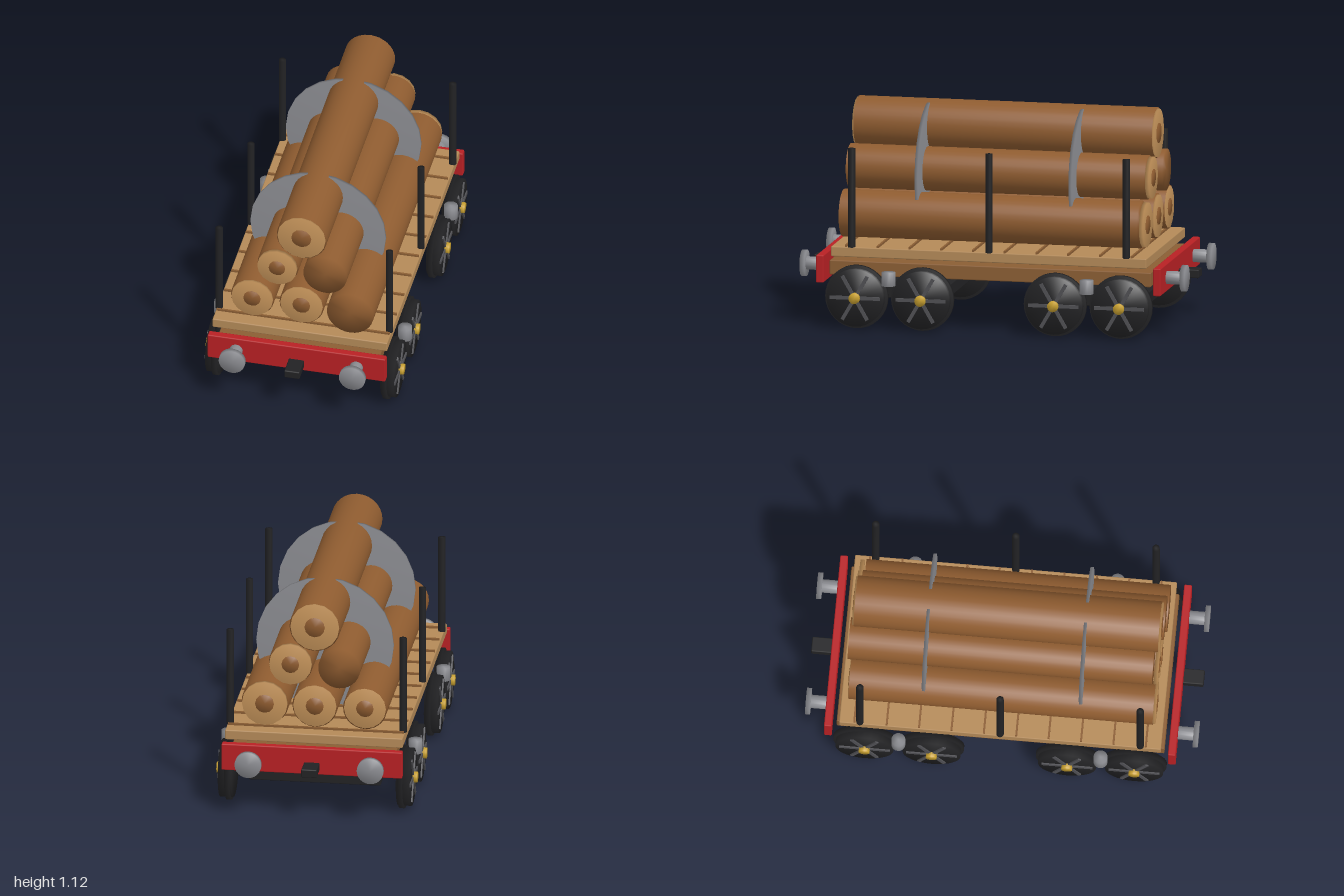
import * as THREE from 'three';
import { mergeVertices } from 'three/addons/utils/BufferGeometryUtils.js';
import { RoundedBoxGeometry } from 'three/addons/geometries/RoundedBoxGeometry.js';

const mat = (name, color) => {
  const m = new THREE.MeshStandardMaterial({ color });
  m.name = name;
  return m;
};

export function createModel() {
  const model = new THREE.Group();
  model.name = 'logWagon';

  const plank = mat('plank wood', 0xb48a58);
  const frameWood = mat('frame wood', 0x8b5e34);
  const bark = mat('bark', 0x8f5c30);
  const cut = mat('cut wood', 0xc4935a);
  const red = mat('red paint', 0xb82024);
  const black = mat('black iron', 0x222224);
  const spokeGrey = mat('spoke grey', 0x505054);
  const steel = mat('steel', 0x8c8d92);
  const brass = mat('brass', 0xc8a030);

  const add = (parent, name, geo, material, x, y, z) => {
    const mesh = new THREE.Mesh(geo, material);
    mesh.name = name;
    mesh.position.set(x, y, z);
    parent.add(mesh);
    return mesh;
  };

  // Box with slightly softened edges
  const box = (w, h, d, r = 0.006) => new RoundedBoxGeometry(w, h, d, 1, r);

  // Cylinder along an axis, with normals shared between side and ends
  const rod = (r, length, axis, sides = 24) => {
    let g = new THREE.CylinderGeometry(r, r, length, sides);
    g.deleteAttribute('uv');
    g.deleteAttribute('normal');
    g = mergeVertices(g);
    g.computeVertexNormals();
    if (axis === 'x') g.rotateZ(-Math.PI / 2);
    if (axis === 'z') g.rotateX(Math.PI / 2);
    return g;
  };

  // Deck, plank seams and underframe
  add(model, 'deck', box(0.91, 0.052, 1.64), plank, 0, 0.391, 0);
  for (let i = 0; i < 10; i++) {
    add(model, 'plankSeam', new THREE.BoxGeometry(0.9, 0.012, 0.01), frameWood, 0, 0.422, (i - 4.5) * 0.165);
  }
  add(model, 'underframe', box(0.84, 0.075, 1.67), frameWood, 0, 0.302, 0);

  // Side stakes
  for (const x of [-0.443, 0.443]) {
    for (const z of [-0.714, 0, 0.714]) {
      add(model, 'stake', rod(0.019, 0.51, 'y', 12), black, x, 0.67, z);
    }
  }

  // Wheel with flange, spokes and brass hub; side is +1 or -1
  const addWheel = (side, z) => {
    const wheel = new THREE.Group();
    wheel.name = 'wheel';
    wheel.position.set(0, 0.162, z);
    model.add(wheel);
    add(wheel, 'tyre', rod(0.148, 0.068, 'x', 32), black, side * 0.456, 0, 0);
    add(wheel, 'flange', rod(0.162, 0.025, 'x', 32), black, side * 0.443, 0, 0);
    for (let i = 0; i < 3; i++) {
      const spoke = add(wheel, 'spokePair', new THREE.BoxGeometry(0.012, 0.018, 0.26), spokeGrey, side * 0.491, 0, 0);
      spoke.rotation.x = (i * Math.PI) / 3;
    }
    add(wheel, 'hub', rod(0.028, 0.03, 'x', 16), brass, side * 0.499, 0, 0);
  };

  for (const end of [-1, 1]) {
    // Bogie
    add(model, 'bogieFrame', box(0.675, 0.066, 0.54), black, 0, 0.173, end * 0.515);
    for (const side of [-1, 1]) {
      addWheel(side, end * 0.345);
      addWheel(side, end * 0.687);
      add(model, 'spring', rod(0.036, 0.07, 'y', 16), steel, side * 0.479, 0.265, end * 0.515);
      // Buffers
      add(model, 'bufferShaft', rod(0.034, 0.09, 'z', 20), steel, side * 0.313, 0.3, end * 0.935);
      add(model, 'bufferHead', rod(0.068, 0.025, 'z', 24), steel, side * 0.313, 0.3, end * 0.9875);
    }
    // End beam and coupling
    add(model, 'bufferBeam', box(0.926, 0.142, 0.04), red, 0, 0.299, end * 0.876);
    add(model, 'coupling', box(0.08, 0.044, 0.11), black, 0, 0.271, end * 0.945);
    // Binding disc round the load
    add(model, 'bindingDisc', rod(0.352, 0.016, 'z', 24), steel, 0, 0.758, end * 0.4);
  }

  // Logs: x, y, radius, bark shift along the wagon
  const logs = [
    [-0.257, 0.557, 0.112, -0.005],
    [0, 0.557, 0.115, 0],
    [0.257, 0.557, 0.121, 0.022],
    [-0.127, 0.773, 0.107, -0.021],
    [0.125, 0.777, 0.113, 0.016],
    [0, 0.985, 0.13, 0],
  ];
  for (const [x, y, r, shift] of logs) {
    const log = new THREE.Group();
    log.name = 'log';
    log.position.set(x, y, 0);
    model.add(log);
    add(log, 'bark', rod(r, 1.55, 'z', 28), bark, 0, 0, shift);
    for (const end of [-1, 1]) {
      add(log, 'cutEnd', rod(r * 0.96, 0.02, 'z', 16), cut, 0, 0, end * 0.773);
      add(log, 'heartwood', rod(r * 0.4, 0.02, 'z', 12), bark, 0, 0, end * 0.777);
    }
  }

  return model;
}
